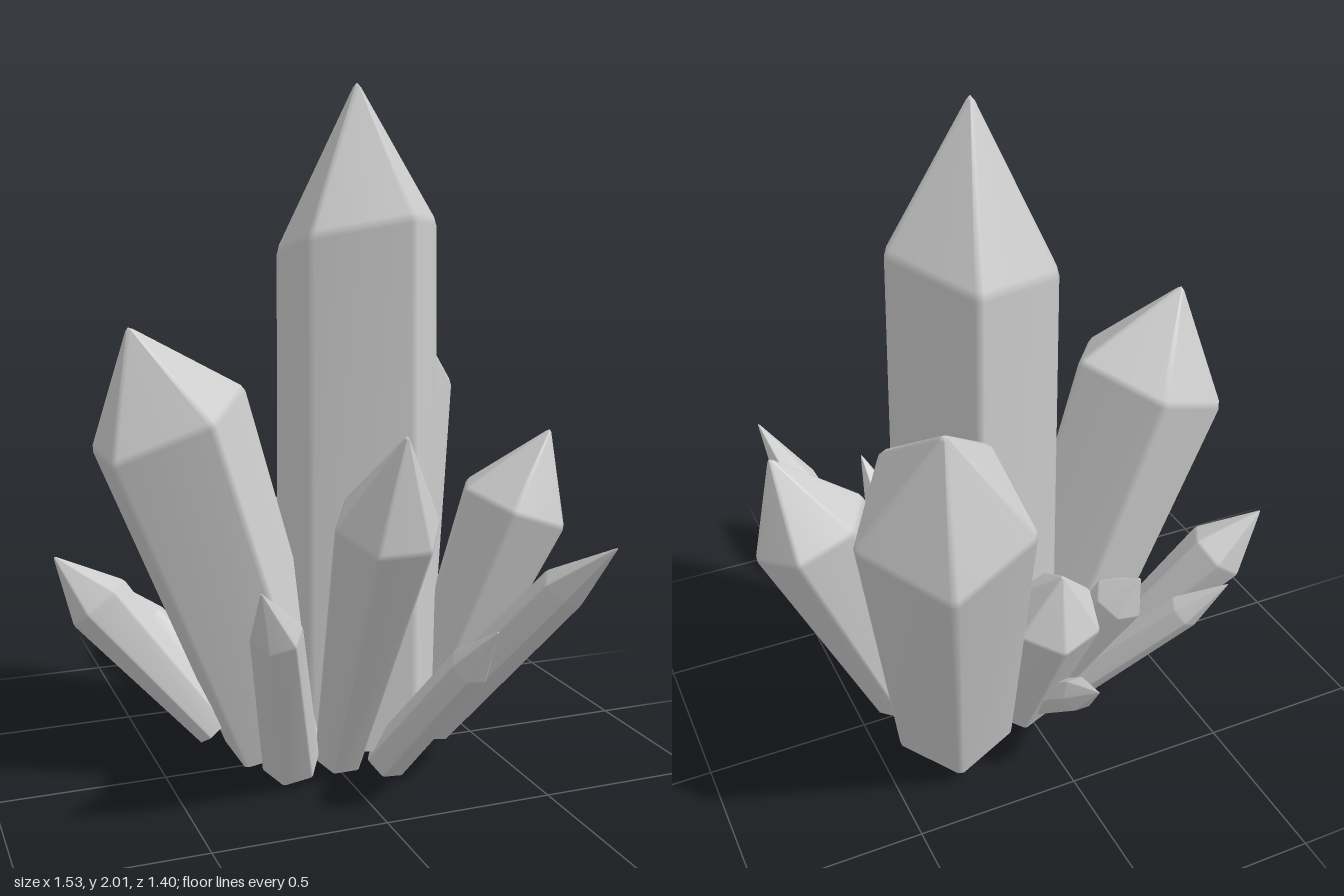
import * as THREE from 'three';

const V = (a) => new THREE.Vector3(...a);

// Pointed prism with finely bevelled edges, open underneath.
// base, shoulder, tip: points on the axis; r0, r1: radii at base and shoulder;
// corner: direction of one corner; tilt: slope of the shoulder ring along x and z.
function crystalGeometry({ base, shoulder, tip, r0, r1, sides = 6, corner = [1, 0, 0], tilt = [0, 0] }) {
  const b = V(base), s = V(shoulder), t = V(tip);
  const w = s.clone().sub(b).normalize();
  const u = V(corner).addScaledVector(w, -V(corner).dot(w)).normalize();
  const v = w.clone().cross(u);
  const n = sides * 2, bevel = 0.05;
  const pos = [], index = [];

  const ring = (centre, r, slope = 0) => {
    for (let i = 0; i < n; i++) {
      // two points per corner make the bevel
      const a = ((i >> 1) / sides) * Math.PI * 2 + (i % 2 ? bevel : -bevel);
      const d = u.clone().multiplyScalar(Math.cos(a) * r).addScaledVector(v, Math.sin(a) * r);
      pos.push(centre.x + d.x, centre.y + d.y + slope * (tilt[0] * d.x + tilt[1] * d.z), centre.z + d.z);
    }
  };
  ring(b, r0);
  ring(s.clone().addScaledVector(w, -r1 * 0.04), r1, 1);
  ring(s.clone().lerp(t, 0.04), r1 * 0.97, 1);
  ring(t.clone().lerp(s, 0.03), r1 * 0.05);
  for (let k = 0; k < 3; k++) {
    for (let i = 0; i < n; i++) {
      const a = k * n + i, c = k * n + ((i + 1) % n);
      index.push(a, c, c + n, a, c + n, a + n);
    }
  }
  // point
  pos.push(t.x, t.y, t.z);
  for (let i = 0; i < n; i++) index.push(3 * n + i, 3 * n + ((i + 1) % n), 4 * n);

  const g = new THREE.BufferGeometry();
  g.setAttribute('position', new THREE.Float32BufferAttribute(pos, 3));
  g.setIndex(index);
  g.computeVertexNormals(); // area weighting keeps the large facets flat
  return g;
}

const crystals = {
  // large, five-sided
  mainCrystal: { base: [0.115, 0.07, 0], shoulder: [0.105, 1.57, 0], tip: [0.1, 2, 0], r0: 0.26, r1: 0.245, sides: 5, tilt: [0.12, 0.18] },
  leaningCrystalRight: { base: [-0.14, 0.08, 0], shoulder: [-0.475, 1.045, 0], tip: [-0.58, 1.325, 0], r0: 0.185, r1: 0.24, sides: 5, tilt: [0.08, 0] },
  leaningCrystalBack: { base: [0.27, 0.09, -0.205], shoulder: [0.395, 1.075, -0.48], tip: [0.43, 1.385, -0.585], r0: 0.18, r1: 0.245, sides: 5, corner: [1, 0, -0.04], tilt: [0, 0.16] },
  // medium
  leaningCrystalLeft: { base: [0.36, 0.08, -0.02], shoulder: [0.6, 0.745, 0.07], tip: [0.69, 0.98, 0.12], r0: 0.1, r1: 0.18 },
  frontCrystal: { base: [-0.005, 0.04, 0.14], shoulder: [-0.01, 0.83, 0.51], tip: [-0.01, 1.09, 0.63], r0: 0.075, r1: 0.147 },
  backCrystal: { base: [0.03, 0.05, -0.18], shoulder: [0.03, 0.585, -0.41], tip: [0.03, 0.745, -0.45], r0: 0.085, r1: 0.135, corner: [0.93, 0, -0.33] },
  // small shards around the foot
  frontLeftShard: { base: [0.13, 0.03, 0.19], shoulder: [0.215, 0.43, 0.555], tip: [0.24, 0.56, 0.67], r0: 0.065, r1: 0.058 },
  frontLeftLongShard: { base: [0.3, 0.1, 0.12], shoulder: [0.51, 0.61, 0.53], tip: [0.58, 0.76, 0.69], r0: 0.075, r1: 0.067 },
  frontRightShard: { base: [-0.16, 0.05, 0.15], shoulder: [-0.295, 0.54, 0.43], tip: [-0.37, 0.69, 0.535], r0: 0.085, r1: 0.073 },
  sideShard: { base: [-0.32, 0.08, -0.09], shoulder: [-0.64, 0.475, -0.22], tip: [-0.765, 0.62, -0.26], r0: 0.06, r1: 0.1, corner: [1, 0.5, 0] },
  backRightLongShard: { base: [-0.2, 0.06, -0.15], shoulder: [-0.46, 0.37, -0.33], tip: [-0.57, 0.49, -0.4], r0: 0.065, r1: 0.055 },
  backRightShard: { base: [-0.09, 0.06, -0.13], shoulder: [-0.23, 0.49, -0.32], tip: [-0.27, 0.59, -0.375], r0: 0.06, r1: 0.08 },
  backShard: { base: [0, 0.06, -0.18], shoulder: [-0.02, 0.31, -0.47], tip: [-0.03, 0.4, -0.58], r0: 0.055, r1: 0.05 },
  // stub under the centre of the cluster
  rootStub: { base: [0, 0.025, 0], shoulder: [0, 0.08, 0], tip: [0, 0.2, 0], r0: 0.1, r1: 0.115 },
};

export function createModel() {
  const group = new THREE.Group();
  group.name = 'crystalCluster';
  const material = new THREE.MeshStandardMaterial({ color: 0xcccccc, side: THREE.DoubleSide });
  for (const [name, spec] of Object.entries(crystals)) {
    const mesh = new THREE.Mesh(crystalGeometry(spec), material);
    mesh.name = name;
    group.add(mesh);
  }
  return group;
}
